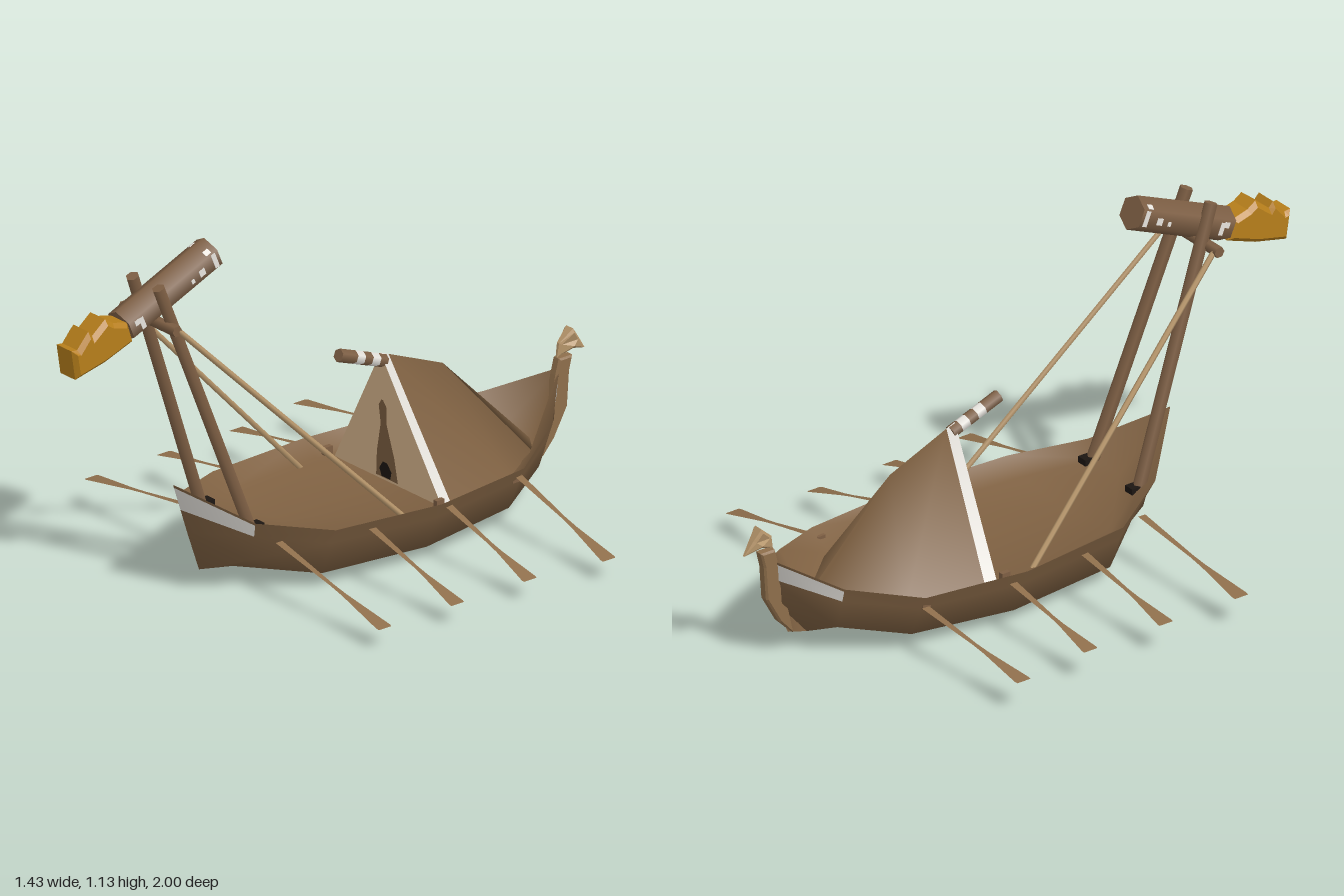
import * as THREE from 'three';
import { mergeVertices } from 'three/addons/utils/BufferGeometryUtils.js';

const material = (name, color, sheet = false) => {
  const m = new THREE.MeshStandardMaterial({ color, side: sheet ? THREE.DoubleSide : THREE.FrontSide });
  m.name = name;
  return m;
};

export function createModel() {
  const model = new THREE.Group();
  model.name = 'rowingShip';
  const wood = material('hull wood', 0x7f6142, true);
  const timber = material('spar timber', 0x7e5f44);
  const oarWood = material('oar wood', 0x8e6e4b, true);
  const rope = material('rope tan', 0xb7966b);
  const canvas = material('pale canvas', 0xdcb98f, true);
  const white = material('white paint', 0xe6e3dd, true);
  const gold = material('gold', 0xb67e1b);
  const dark = material('dark fittings', 0x1c1612);

  const add = (name, geometry, mat, parent = model) => {
    const mesh = new THREE.Mesh(geometry, mat);
    mesh.name = name;
    parent.add(mesh);
    return mesh;
  };
  const mix = (a, b, t) => a.map((v, i) => v + (b[i] - v) * t);
  const mirror = ([x, y, z]) => [-x, y, z];

  // Skin through cross-sections; pick(i, j) chooses a material for each quad
  function loft(name, rows, mats, pick = () => 0) {
    let g = new THREE.BufferGeometry();
    const n = rows[0].length, index = [];
    g.setAttribute('position', new THREE.Float32BufferAttribute(rows.flat(2), 3));
    mats.forEach((_, m) => {
      const start = index.length;
      for (let i = 0; i < rows.length - 1; i++) for (let j = 0; j < n - 1; j++) {
        if (pick(i, j) !== m) continue;
        const a = i * n + j, b = a + 1, c = a + n, d = c + 1;
        // Mirror the diagonal on the far half so both sides match
        if (j < (n - 1) / 2) index.push(a, c, b, b, c, d);
        else index.push(a, c, d, a, d, b);
      }
      g.addGroup(start, index.length - start, m);
    });
    g.setIndex(index);
    // Weld the two halves at bow and stern so shading runs round them
    g = mergeVertices(g);
    g.computeVertexNormals();
    return add(name, g, mats);
  }

  // Round spar between two points
  function rod(name, a, b, r, mat, sides = 6) {
    const p = new THREE.Vector3(...a), q = new THREE.Vector3(...b);
    const mesh = add(name, new THREE.CylinderGeometry(r, r, p.distanceTo(q), sides), mat);
    mesh.position.copy(p).lerp(q, 0.5);
    mesh.quaternion.setFromUnitVectors(new THREE.Vector3(0, 1, 0), q.sub(p).normalize());
  }

  // Side profile in (z, y), extruded across the ship; taper(z) scales its width
  function slab(name, pts, width, mat, bevel, x = 0, taper = () => 1) {
    const shape = new THREE.Shape(pts.map(([z, y]) => new THREE.Vector2(z, y)));
    const g = new THREE.ExtrudeGeometry(shape, {
      depth: width - 2 * bevel, bevelEnabled: true, bevelSize: bevel,
      bevelOffset: -bevel, bevelThickness: bevel, bevelSegments: 1,
    });
    g.translate(0, 0, bevel - width / 2);
    g.rotateY(-Math.PI / 2);
    const p = g.attributes.position;
    for (let i = 0; i < p.count; i++) p.setX(i, p.getX(i) * taper(p.getZ(i)) + x);
    g.computeVertexNormals();
    add(name, g, mat);
  }

  // Hull stations from bow to stern: sheer, chine, keel, lower edge of stripe
  const stations = [
    [[0, 0.37, 0.59], [0, 0.2, 0.535], [0, 0.07, 0.49], 0.52],
    [[0.165, 0.25, 0.41], [0.1, 0.1, 0.37], [0, 0.045, 0.36], 0.36],
    [[0.285, 0.21, 0.2], [0.22, 0.05, 0.2], [0, 0.016, 0.22], 0.3],
    [[0.32, 0.2, -0.18], [0.25, 0.04, -0.18], [0, 0, -0.2], 0.3],
    [[0.28, 0.205, -0.53], [0.21, 0.055, -0.53], [0, 0.015, -0.56], 0.3],
    [[0.16, 0.25, -0.74], [0.11, 0.1, -0.73], [0, 0.05, -0.76], 0.32],
    [[0, 0.335, -0.9], [0, 0.2, -0.89], [0, 0.07, -0.83], 0.48],
  ];
  const hullRows = stations.map(([sheer, chine, keel, t]) => {
    const half = [sheer, mix(sheer, chine, 0.06), mix(sheer, chine, t), chine];
    return [...half, keel, ...half.map(mirror).reverse()];
  });
  loft('hull', hullRows, [wood, white], (i, j) => ((i === 0 || i === 5) && (j === 1 || j === 6) ? 1 : 0));

  // Dished deck below the bulwarks: floor edge and centre height for each station
  const floor = [
    [[0, 0.37, 0.59], [0, 0.37, 0.59]],
    [[0.1, 0.215, 0.4], [0, 0.2, 0.4]],
    [[0.22, 0.165, 0.2], [0, 0.155, 0.2]],
    [[0.26, 0.155, -0.18], [0, 0.14, -0.18]],
    [[0.215, 0.14, -0.51], [0, 0.13, -0.53]],
    [[0.09, 0.12, -0.7], [0, 0.1, -0.79]],
    [[0, 0.335, -0.9], [0, 0.335, -0.9]],
  ];
  loft('deck', stations.map(([s], i) => {
    const [edge, mid] = floor[i];
    return [mirror(s), mirror(edge), mid, edge, s];
  }), [wood]);

  // Stern post with hooked, pointed tip
  slab('sternPost', [[-0.82, 0.07], [-0.875, 0.32], [-0.888, 0.37], [-0.94, 0.37], [-0.928, 0.32], [-0.92, 0.21], [-0.87, 0.12]],
    0.034, oarWood, 0.006);
  slab('sternHook', [[-0.888, 0.37], [-0.895, 0.415], [-0.94, 0.455], [-0.965, 0.42], [-0.995, 0.375], [-0.94, 0.392]],
    0.048, rope, 0.008, 0, (z) => Math.max(0.2, 1 - Math.abs(z + 0.94) / 0.065));

  // Tent-shaped cabin with painted front edge
  const ridge = [[0, 0.575, -0.21], [0, 0.475, -0.45], [0, 0.14, -0.785]];
  const eave = [[0.248, 0.15, -0.24], [0.205, 0.135, -0.55], [0, 0.09, -0.8]];
  const cabin = [0, 1, 2].map((i) => [eave[i], ridge[i], mirror(eave[i])]);
  cabin.splice(1, 0, cabin[0].map((p, j) => mix(p, cabin[1][j], 0.13)));
  loft('cabinRoof', cabin, [wood, white], (i) => (i === 0 ? 1 : 0));
  const frontZ = (y) => -0.24 + ((y - 0.15) / 0.425) * 0.03;
  const panel = (name, pts, mat, lift) =>
    loft(name, pts.map(([x, y]) => [[-x, y, frontZ(y) + lift], [x, y, frontZ(y) + lift]]), [mat]);
  panel('cabinFront', [[0, 0.575], [0.248, 0.15]], canvas, 0);
  panel('doorSlit', [[0.004, 0.42], [0.018, 0.4], [0.014, 0.34], [0.04, 0.24], [0.05, 0.16]], wood, 0.004);
  panel('doorFoot', [[0.01, 0.215], [0.028, 0.19], [0.02, 0.165]], dark, 0.008);

  // Banded ridge pole
  const poleA = [0, 0.545, -0.225], poleB = [0, 0.611, -0.048];
  for (let i = 0; i < 6; i++) {
    rod('ridgePole', mix(poleA, poleB, i / 6), mix(poleA, poleB, (i + 1) / 6), 0.021, i === 1 || i === 3 ? white : timber);
  }

  // Raking legs, stays and their fittings
  for (const s of [1, -1]) {
    rod('mastLeg', [s * 0.115 - 0.002, 0.19, 0.378], [s * 0.06 - 0.008, 1.05, 0.69], 0.021, timber);
    rod('stay', [s * 0.115 - 0.012, 0.92, 0.655], [s * 0.241, 0.15, -0.105], 0.009, rope);
    const foot = add('legFoot', new THREE.BoxGeometry(0.036, 0.02, 0.034), dark);
    foot.position.set(s * 0.115, 0.215, 0.365);
    for (const z of [-0.22, -0.515]) {
      const peg = add('tholePin', new THREE.BoxGeometry(0.016, 0.025, 0.03), timber);
      peg.position.set(s * 0.258, 0.172, z);
    }
  }
  rod('crossbar', [-0.143, 0.922, 0.665], [0.11, 0.922, 0.665], 0.018, timber);

  // Slung log with small chips of white paint: [along, face, offset across, width, length]
  const log = new THREE.Group();
  log.name = 'log';
  log.position.set(-0.015, 1.003, 0.607);
  log.rotation.x = Math.atan2(-0.341, 0.145);
  model.add(log);
  add('logBody', new THREE.CylinderGeometry(0.055, 0.055, 0.37, 6), timber, log);
  for (const [along, face, across, w, h] of [[-0.14, 1, 0.004, 0.04, 0.016], [-0.155, 1, -0.01, 0.018, 0.02],
    [0.07, 1, 0.008, 0.014, 0.012], [0.11, 1, 0.004, 0.022, 0.022], [0.165, 1, 0, 0.05, 0.016], [0.155, 0, 0.014, 0.018, 0.02]]) {
    for (const s of [1, -1]) {
      const angle = s * (face + 0.5) * Math.PI / 3;
      const chip = new THREE.BoxGeometry(w, h, 0.003);
      chip.translate(s * across, along, 0.0478);
      chip.rotateY(angle);
      add('paintChip', chip, white, log);
    }
  }

  // Gilded animal head on the log's front end
  slab('gildedHead', [[0.765, 0.89], [0.785, 0.955], [0.84, 0.97], [0.87, 0.99], [0.92, 0.95], [0.935, 0.968],
    [0.978, 0.92], [1.0, 0.922], [0.985, 0.826], [0.87, 0.852]], 0.096, gold, 0.014, -0.013);

  // Flat oars: [z, inner x, outer x, sweep]
  const oars = [[0.34, 0.19, 0.68, 0], [0.06, 0.28, 0.68, 0], [-0.22, 0.3, 0.68, 0], [-0.52, 0.265, 0.715, 0.025]];
  for (const s of [1, -1]) for (const [z, x0, x1, sweep] of oars) {
    const inner = [s * x0, s > 0 ? 0.18 : 0.165, z];
    const outer = [s * x1, s > 0 ? 0.065 : 0.1, z + sweep];
    loft('oar', [[0, 0.013], [0.5, 0.007], [0.62, 0.009], [0.98, 0.026], [1, 0.024]].map(([t, w]) => {
      const [x, y, c] = mix(inner, outer, t);
      return [[x, y, c - s * w], [x, y, c + s * w]];
    }), [oarWood]);
  }
  return model;
}
